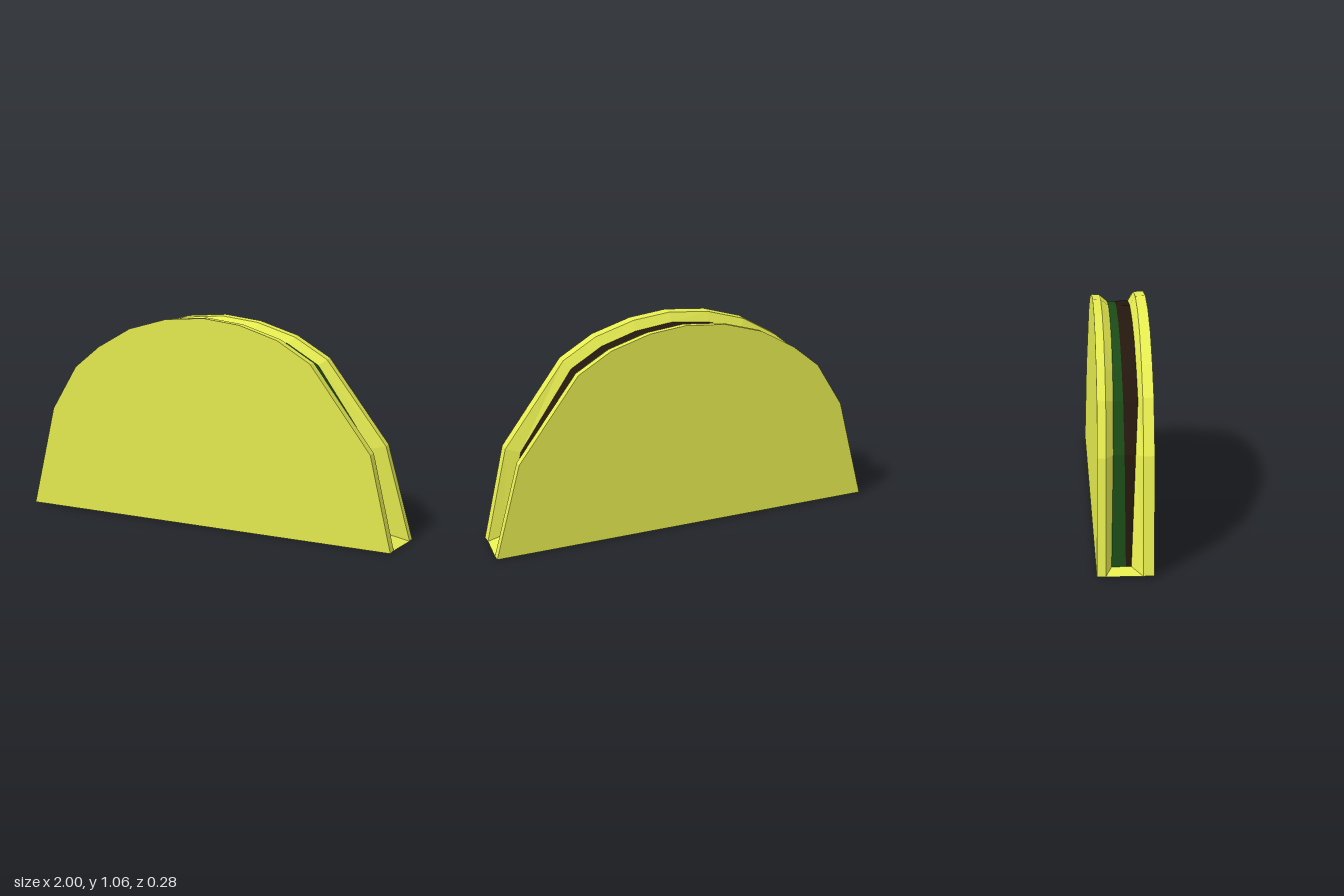
import * as THREE from 'three';

// Half-round outline (left end, over the top, right end) and the inset outline of the filling
const OUTER = [[-1, 0.008], [-0.87, 0.53], [-0.73, 0.76], [-0.59, 0.875], [-0.41, 0.98], [-0.21, 1.04],
  [0, 1.06], [0.19, 1.04], [0.39, 0.98], [0.56, 0.88], [0.87, 0.47], [0.98, 0]];
const INNER = [[-0.94, 0.03], [-0.82, 0.52], [-0.69, 0.73], [-0.56, 0.835], [-0.39, 0.935], [-0.2, 0.99],
  [0, 1.012], [0.19, 0.99], [0.37, 0.935], [0.53, 0.84], [0.8, 0.45], [0.9, 0.03]];

// Cross-section from the front face, over the two rims, to the back face
function section(i) {
  const [x, y] = OUTER[i], [u, v] = INNER[i];
  const last = i === OUTER.length - 1;
  const front = 0.125 + 0.005 * x + 0.013 * y;
  const back = -0.138 + 0.016 * y;
  const bx = last ? 1 : x, by = y * 0.986;
  const innerFront = i === 0 ? 0.02 : i === 1 ? 0.045 : 0.062;
  return [
    [x, y, front], [x, y * 0.997, front - 0.05], [u, v, innerFront],
    [u, v, -0.07 + 0.027 * v], [bx, by * 0.997, back + 0.04], [bx, by, back],
  ];
}

function shellGeometry() {
  const n = OUTER.length, s = OUTER.map((_, i) => section(i)), pos = [];
  const tri = (...p) => p.forEach((q) => pos.push(...q));
  const quad = (a, b, c, d) => { tri(a, b, c); tri(a, c, d); };
  for (let i = 0; i < n - 1; i++) {
    // rims and inner slopes, leaving the middle open for the filling
    for (const j of [0, 1, 3, 4]) quad(s[i][j], s[i + 1][j], s[i + 1][j + 1], s[i][j + 1]);
    // front and back faces
    if (i > 0) {
      tri(s[0][0], s[i + 1][0], s[i][0]);
      tri(s[0][5], s[i][5], s[i + 1][5]);
    }
  }
  // floor lips at both ends, and the underside
  const a = s[0], b = s[n - 1];
  quad(a[1], a[2], a[3], a[4]);
  quad(b[2], b[1], b[4], b[3]);
  quad(a[0], a[5], b[5], b[0]);
  const g = new THREE.BufferGeometry();
  g.setAttribute('position', new THREE.Float32BufferAttribute(pos, 3));
  g.computeVertexNormals();
  return g;
}

// Slab of filling between two depths
function fillingGeometry(z0, z1) {
  const shape = new THREE.Shape(INNER.map(([x, y]) => new THREE.Vector2(x, y)));
  return new THREE.ExtrudeGeometry(shape, { depth: z1 - z0, bevelEnabled: false }).translate(0, 0, z0);
}

export function createModel() {
  const group = new THREE.Group();
  group.name = 'taco';
  const add = (name, geometry, color) => {
    const mesh = new THREE.Mesh(geometry, new THREE.MeshStandardMaterial({ color, flatShading: true }));
    mesh.name = name;
    group.add(mesh);
  };
  add('shell', shellGeometry(), 0xe6ec50);
  add('meatFilling', fillingGeometry(-0.005, 0.064), 0x24170e);
  add('lettuceFilling', fillingGeometry(-0.072, -0.005), 0x1a4a16);
  return group;
}
